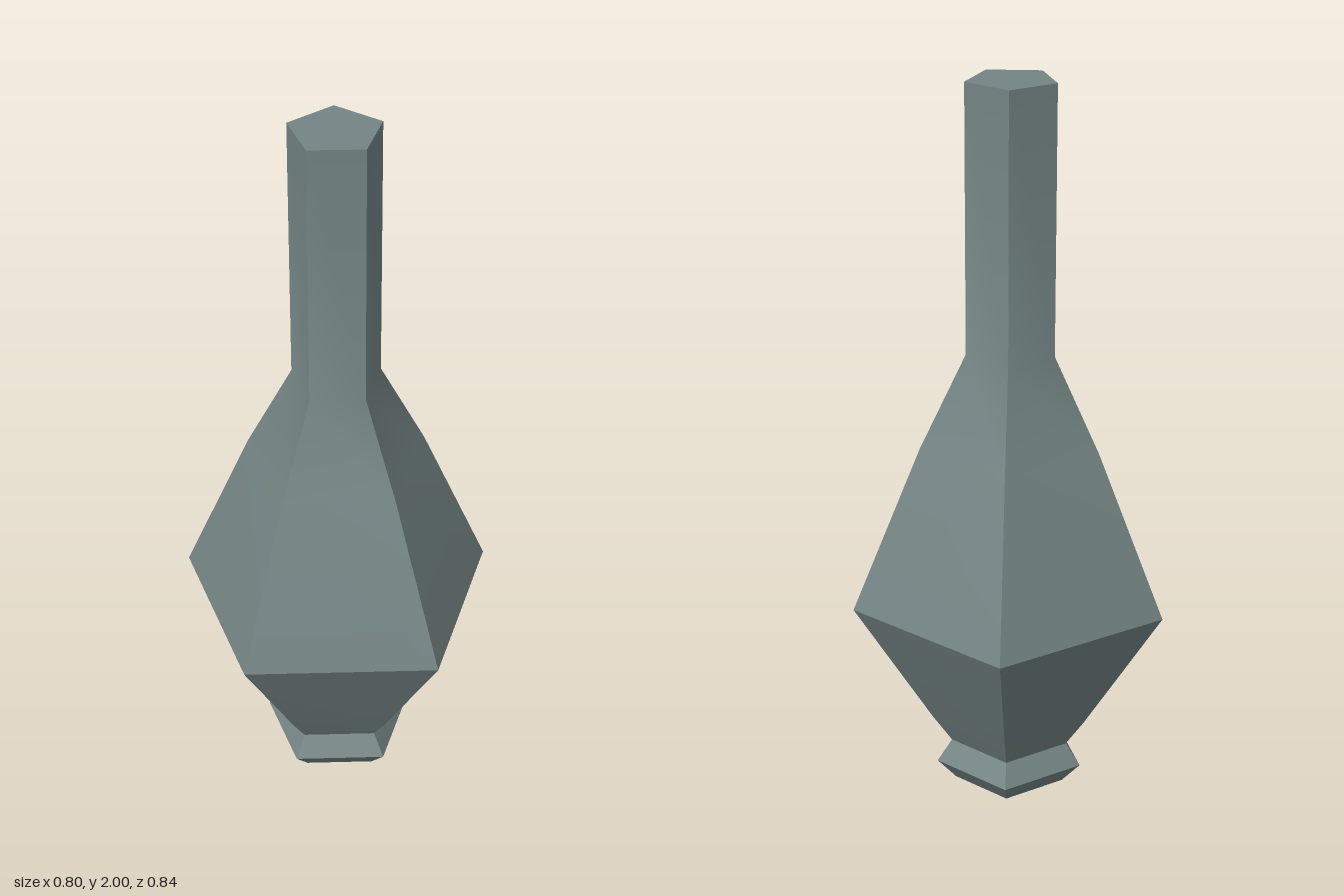
import * as THREE from 'three';
import { toCreasedNormals } from 'three/addons/utils/BufferGeometryUtils.js';

const SIDES = 5;
const material = new THREE.MeshStandardMaterial({ color: 0x748484 });

// Five-sided turned part from [radius, height] pairs, listed bottom to top
function turned(name, profile) {
  const points = profile.map(([r, y]) => new THREE.Vector2(r, y));
  const lathe = new THREE.LatheGeometry(points, SIDES, Math.PI / 2);
  // Gentle bends along a side stay smooth, the corners stay sharp
  const mesh = new THREE.Mesh(toCreasedNormals(lathe, 0.55), material);
  mesh.name = name;
  return mesh;
}

// Flat pentagon closing an end
function cap(name, radius, y, up) {
  const geometry = new THREE.CircleGeometry(radius, SIDES);
  geometry.rotateX(up ? -Math.PI / 2 : Math.PI / 2);
  const mesh = new THREE.Mesh(geometry, material);
  mesh.position.y = y;
  mesh.name = name;
  return mesh;
}

export function createModel() {
  const bottle = new THREE.Group();
  bottle.name = 'bottle';

  // Flared foot ring
  bottle.add(cap('footBottom', 0.158, 0, false));
  bottle.add(turned('foot', [[0.158, 0], [0.211, 0.06], [0.169, 0.122]]));

  // Belly running up into the straight neck
  bottle.add(turned('bodyAndNeck', [
    [0.169, 0.122], [0.221, 0.2], [0.44, 0.565],
    [0.25, 1.02], [0.123, 1.275], [0.123, 2],
  ]));
  bottle.add(cap('neckTop', 0.123, 2, true));

  // Centre the pentagon's bounds, with one corner pointing to +x
  bottle.position.x = -0.042;
  const model = new THREE.Group();
  model.add(bottle);
  return model;
}
